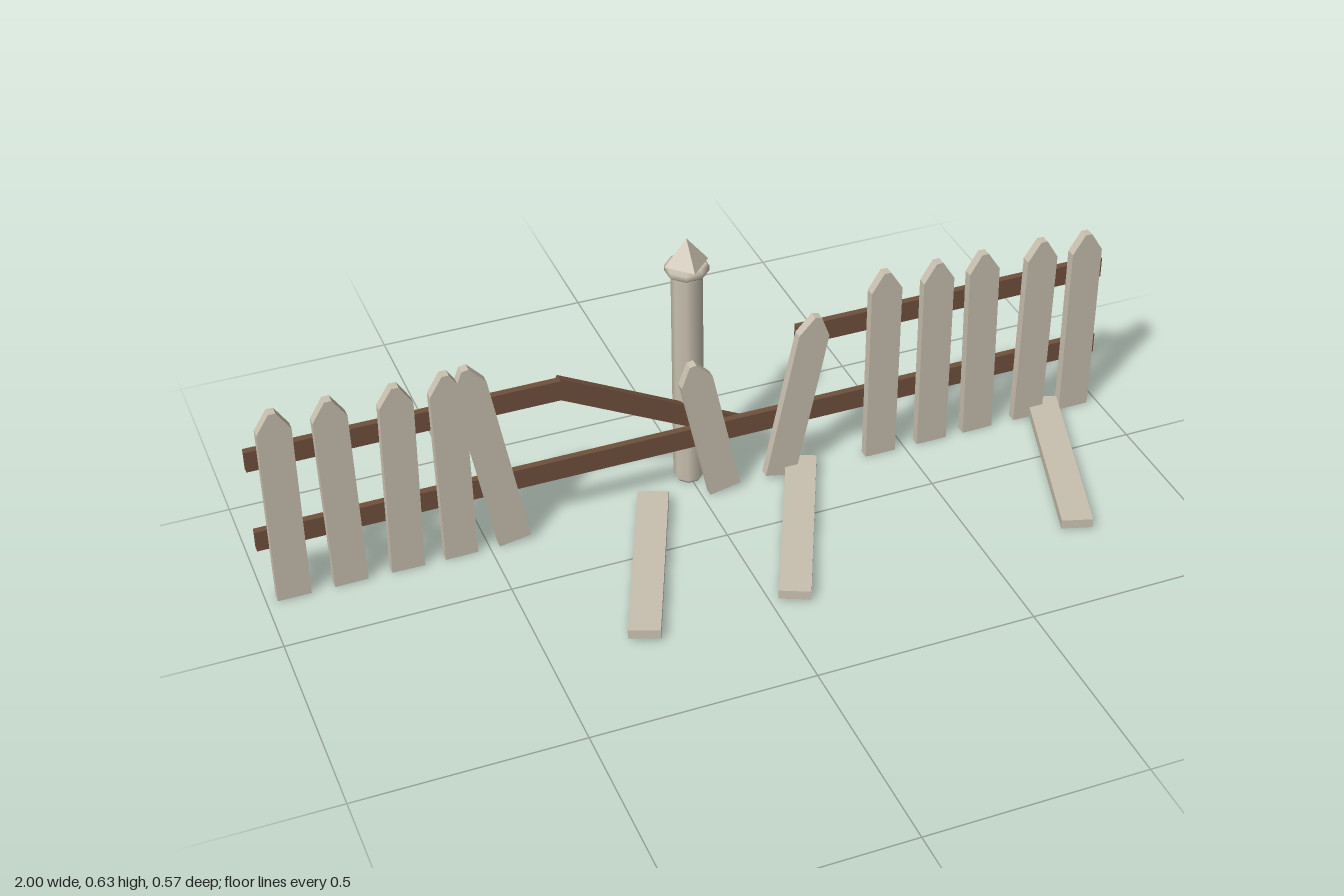
import * as THREE from 'three';

export function createModel() {
  const model = new THREE.Group();
  model.name = 'brokenFence';

  const paleWood = new THREE.MeshStandardMaterial({ color: 0xc8c0af, flatShading: true });
  paleWood.name = 'pale weathered wood';
  const brownWood = new THREE.MeshStandardMaterial({ color: 0x70503d, flatShading: true });
  brownWood.name = 'brown rail wood';
  const postWood = new THREE.MeshStandardMaterial({ color: 0xc8c0af });
  postWood.name = 'smooth post wood';

  const add = (name, geometry, material, x, y, z, parent = model) => {
    const mesh = new THREE.Mesh(geometry, material);
    mesh.name = name;
    mesh.position.set(x, y, z);
    parent.add(mesh);
    return mesh;
  };

  // Pointed pickets: base centre x, tip x, tip height
  const W = 0.074, T = 0.022;
  const pickets = new THREE.Group();
  pickets.name = 'pickets';
  model.add(pickets);
  const picket = (baseX, tipX, tipY) => {
    const lean = Math.atan2(baseX - tipX, tipY);
    const baseY = Math.abs(Math.sin(lean)) * W / 2;
    const length = Math.hypot(tipX - baseX, tipY - baseY);
    const s = new THREE.Shape();
    s.moveTo(-W / 2, 0);
    s.lineTo(W / 2, 0);
    s.lineTo(W / 2, length - 0.046);
    s.lineTo(0.008, length);
    s.lineTo(-0.008, length);
    s.lineTo(-W / 2, length - 0.046);
    const g = new THREE.ExtrudeGeometry(s, { depth: T, bevelEnabled: false });
    add('picket', g, paleWood, baseX, baseY, -0.17, pickets).rotation.z = lean;
  };
  [
    [-0.939, -0.939, 0.484], [-0.813, -0.822, 0.484], [-0.686, -0.68, 0.48],
    [-0.565, -0.572, 0.482], [-0.442, -0.53, 0.484], [0.055, -0.022, 0.362],
    [0.19, 0.277, 0.415], [0.439, 0.439, 0.492], [0.569, 0.566, 0.487],
    [0.687, 0.678, 0.484], [0.818, 0.825, 0.482], [0.938, 0.938, 0.475],
  ].forEach((p) => picket(...p));

  // Fallen planks: front end x, z and back end x, z
  [
    [-0.293, 0.263, -0.108, -0.177],
    [0.05, 0.263, 0.253, -0.177],
    [0.725, 0.271, 0.868, -0.177],
  ].forEach(([x1, z1, x2, z2]) => {
    const g = new THREE.BoxGeometry(0.07, T, Math.hypot(x2 - x1, z2 - z1));
    const plank = add('fallenPlank', g, paleWood, (x1 + x2) / 2, 0.016, (z1 + z2) / 2);
    plank.rotation.y = Math.atan2(x1 - x2, z1 - z2);
  });

  // Rails: start x, y and end x, y
  const rail = (name, x1, y1, x2, y2, z) => {
    const g = new THREE.BoxGeometry(Math.hypot(x2 - x1, y2 - y1), 0.05, 0.016);
    const mesh = add(name, g, brownWood, (x1 + x2) / 2, (y1 + y2) / 2, z);
    mesh.rotation.z = Math.atan2(y2 - y1, x2 - x1);
  };
  rail('lowerRail', -1, 0.142, 1, 0.142, -0.192);
  rail('upperRailRight', -1, 0.352, -0.31, 0.352, -0.192);
  rail('upperRailLeft', 0.24, 0.352, 1, 0.352, -0.192);
  rail('brokenRail', -0.32, 0.35, 0.119, 0.125, -0.208);

  // Post with chamfered ends, collar and pointed cap
  const post = new THREE.Group();
  post.name = 'post';
  post.position.set(0, 0, -0.235);
  model.add(post);
  const turned = (name, profile) => add(name,
    new THREE.LatheGeometry(profile.map(([r, y]) => new THREE.Vector2(r, y)), 8, Math.PI / 8),
    postWood, 0, 0, 0, post);
  turned('postShaft', [[0, 0], [0.029, 0], [0.035, 0.009], [0.035, 0.54], [0.029, 0.55], [0, 0.55]]);
  turned('postCollar', [[0, 0.549], [0.042, 0.549], [0.049, 0.555], [0.049, 0.567], [0.042, 0.573], [0, 0.573]]);
  add('postCap', new THREE.ConeGeometry(0.05, 0.062, 4), paleWood, 0, 0.604, 0, post);

  return model;
}
